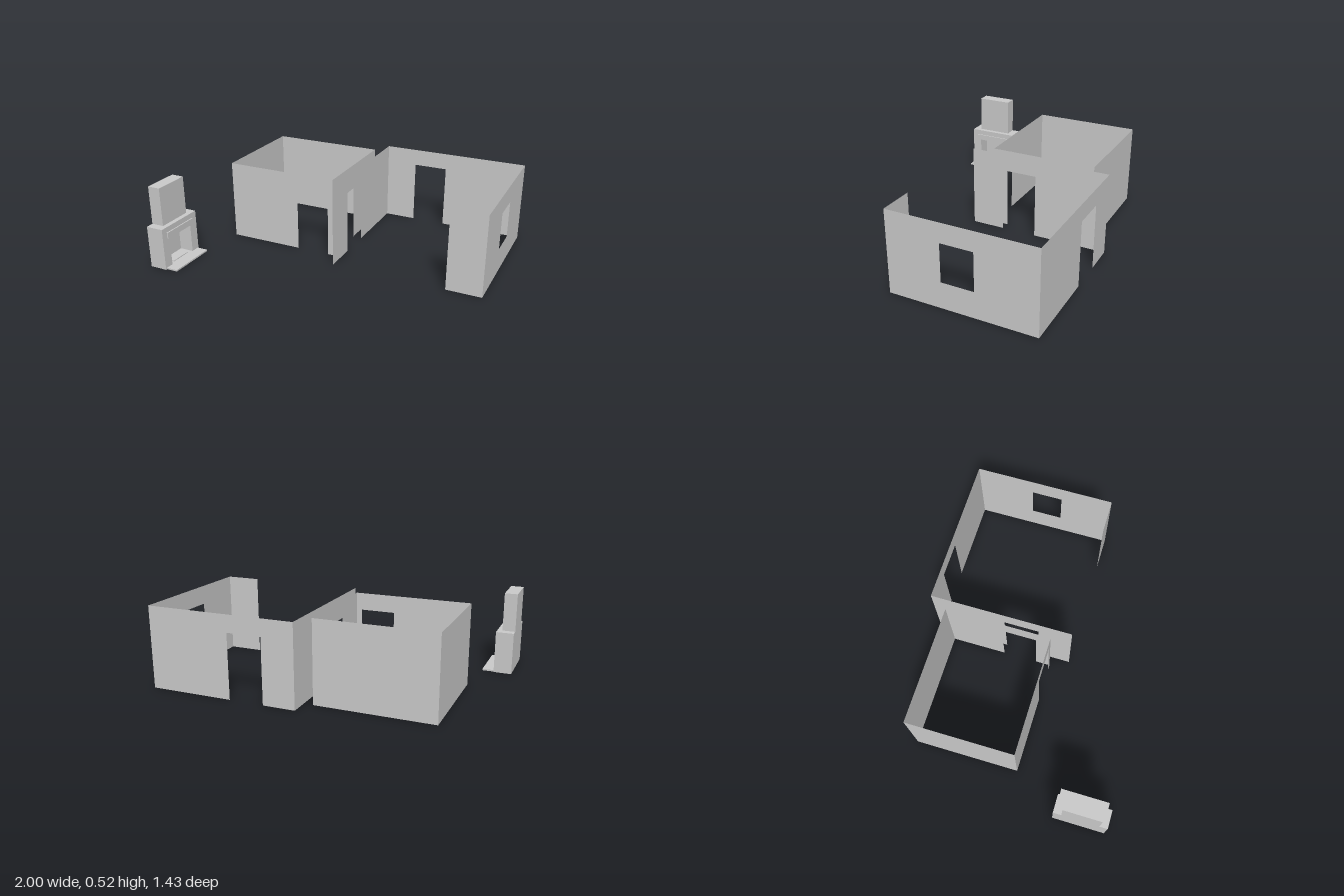
import * as THREE from 'three';

const HEIGHT = 0.525, DOOR_TOP = 0.415;

export function createModel() {
  const model = new THREE.Group();
  model.name = 'houseInterior';
  const stone = new THREE.MeshStandardMaterial({ color: 0xcccccc, flatShading: true });
  const plaster = new THREE.MeshStandardMaterial({ color: 0xcccccc, flatShading: true, side: THREE.DoubleSide });

  // Thin wall from a to b along its axis; doors are notches from the floor, windows are holes
  function wall(parent, name, axis, offset, a, b, { door, window: win } = {}) {
    const pts = [[a, 0]];
    if (door) pts.push([door[0], 0], [door[0], DOOR_TOP], [door[1], DOOR_TOP], [door[1], 0]);
    pts.push([b, 0], [b, HEIGHT], [a, HEIGHT]);
    const shape = new THREE.Shape(pts.map(p => new THREE.Vector2(...p)));
    if (win) {
      const [u0, u1, v0, v1] = win;
      shape.holes.push(new THREE.Path([[u0, v0], [u0, v1], [u1, v1], [u1, v0]].map(p => new THREE.Vector2(...p))));
    }
    const mesh = new THREE.Mesh(new THREE.ShapeGeometry(shape), plaster);
    mesh.name = name;
    if (axis === 'z') {
      mesh.rotation.y = -Math.PI / 2;
      mesh.position.x = offset;
    } else mesh.position.z = offset;
    parent.add(mesh);
  }

  // Box given by its limits on each axis
  function box(parent, name, x0, x1, y0, y1, z0, z1) {
    const mesh = new THREE.Mesh(new THREE.BoxGeometry(x1 - x0, y1 - y0, z1 - z0), stone);
    mesh.position.set((x0 + x1) / 2, (y0 + y1) / 2, (z0 + z1) / 2);
    mesh.name = name;
    parent.add(mesh);
  }

  const sideDoor = [-0.24, -0.015];

  // Small closed room
  const small = new THREE.Group();
  small.name = 'smallRoom';
  wall(small, 'smallRoomFrontWall', 'x', 0.08, -0.78, -0.03, { door: [-0.285, -0.065] });
  wall(small, 'smallRoomBackWall', 'x', -0.6, -0.78, -0.03);
  wall(small, 'smallRoomOuterWall', 'z', -0.78, -0.6, 0.08);
  wall(small, 'smallRoomInnerWall', 'z', -0.03, -0.6, 0.08, { door: sideDoor });

  // Large room, mostly open at the front
  const large = new THREE.Group();
  large.name = 'largeRoom';
  wall(large, 'largeRoomBackWall', 'x', -0.717, 0.03, 1, { door: [0.237, 0.46] });
  wall(large, 'largeRoomInnerWall', 'z', 0.03, -0.717, 0.2, { door: sideDoor });
  wall(large, 'largeRoomWindowWall', 'z', 1, -0.717, 0.2, { window: [-0.343, -0.14, 0.165, 0.403] });
  wall(large, 'largeRoomFrontWall', 'x', 0.2, 0.775, 1);

  // Fireplace facing +x
  const fireplace = new THREE.Group();
  fireplace.name = 'fireplace';
  const zc = 0.547, w = 0.169, o = 0.105, top = 0.275, open = 0.2;
  const arch = new THREE.Shape([[-w, 0], [-o, 0], [-o, open], [o, open], [o, 0], [w, 0], [w, top], [-w, top]]
    .map(p => new THREE.Vector2(...p)));
  const surround = new THREE.Mesh(new THREE.ExtrudeGeometry(arch, { depth: 0.115, bevelEnabled: false }), stone);
  surround.name = 'surround';
  surround.rotation.y = Math.PI / 2;
  surround.position.set(-1, 0, zc);
  fireplace.add(surround);
  box(fireplace, 'fireboxBack', -1, -0.98, 0, open, zc - o, zc + o);
  box(fireplace, 'hearth', -0.999, -0.81, 0, 0.01, 0.385, 0.706);
  box(fireplace, 'ashPlate', -0.96, -0.9, 0.01, 0.015, 0.478, 0.616);
  box(fireplace, 'mantel', -0.89, -0.877, 0.2, 0.24, 0.42, 0.674);
  box(fireplace, 'chimney', -1, -0.917, top, HEIGHT, 0.43, 0.664);

  model.add(small, large, fireplace);
  return model;
}
